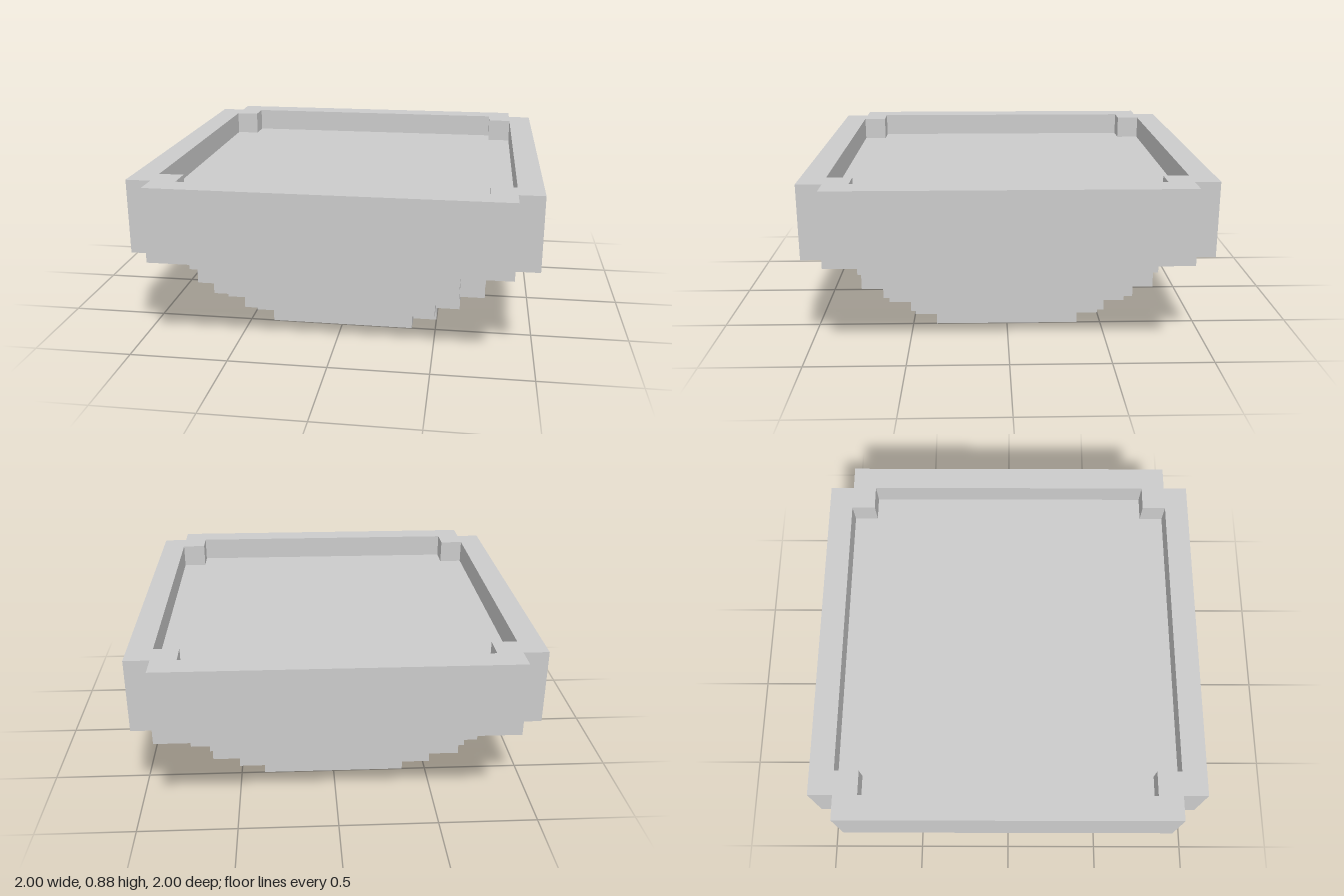
import * as THREE from 'three';

const STEP = 0.125;

// Outline of a square plan whose corners are cut into n square steps
function steppedSquare(half, n) {
  const corner = [[half, half - n * STEP]];
  for (let i = 1; i <= n; i++) {
    corner.push([half - i * STEP, half - (n - i + 1) * STEP]);
    corner.push([half - i * STEP, half - (n - i) * STEP]);
  }
  const points = [];
  for (let q = 0; q < 4; q++) {
    for (const [x, y] of corner) {
      points.push([
        new THREE.Vector2(x, y),
        new THREE.Vector2(-y, x),
        new THREE.Vector2(-x, -y),
        new THREE.Vector2(y, -x),
      ][q]);
    }
  }
  return points;
}

export function createModel() {
  const group = new THREE.Group();
  const material = new THREE.MeshStandardMaterial({ color: 0xcccccc, flatShading: true });

  function addSlab(name, outline, bottom, top, hole) {
    const shape = new THREE.Shape(outline);
    if (hole) shape.holes.push(new THREE.Path(hole));
    const geometry = new THREE.ExtrudeGeometry(shape, { depth: top - bottom, bevelEnabled: false });
    geometry.rotateX(-Math.PI / 2).translate(0, bottom, 0);
    const mesh = new THREE.Mesh(geometry, material);
    mesh.name = name;
    group.add(mesh);
  }

  // Four widening tiers; the topmost has a double-stepped corner
  for (let i = 0; i < 4; i++) {
    addSlab(`baseTier${i + 1}`, steppedSquare(0.5 + i * STEP, i === 3 ? 2 : 1), i * STEP, (i + 1) * STEP);
  }

  // Tall basin wall and the shallow floor inside it
  const inside = steppedSquare(0.875, 1);
  addSlab('basinWall', steppedSquare(1, 1), 0.5, 0.875, inside);
  addSlab('basinFloor', inside, 0.5, 0.75);

  return group;
}
